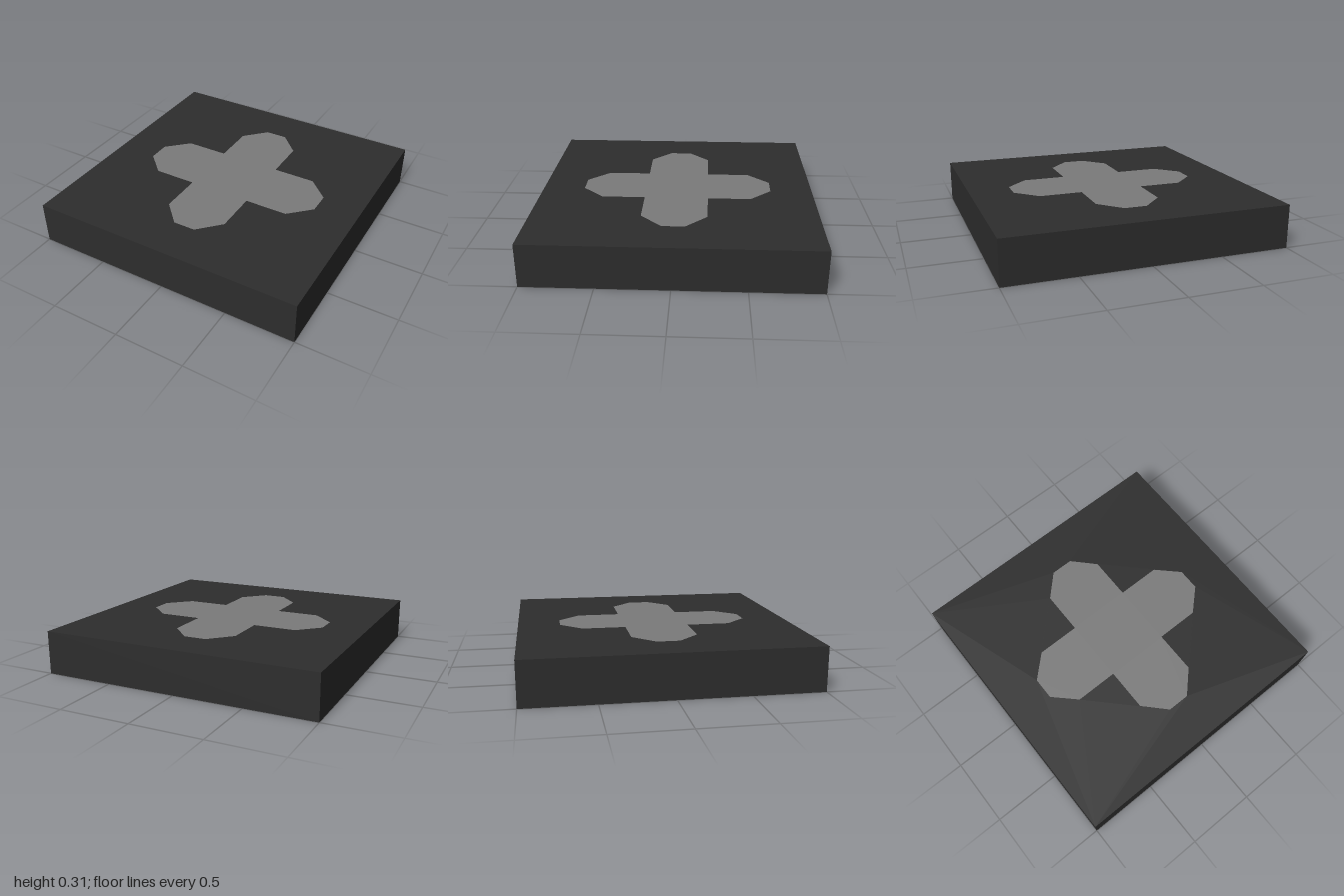
import * as THREE from 'three';

const HEIGHT = 0.31, SKIN = 0.008;
const ARM = 0.23, SHOULDER = 0.54, TIP = 0.695, TIP_HALF = 0.08;

// One quarter of the cross outline, turned four times
function crossPoints() {
  const quarter = [[ARM, -ARM], [SHOULDER, -ARM], [TIP, -TIP_HALF], [TIP, TIP_HALF], [SHOULDER, ARM]];
  const points = [];
  for (let i = 0; i < 4; i++) {
    const turn = i * Math.PI / 2;
    for (const [x, y] of quarter) {
      points.push(new THREE.Vector2(x, y).rotateAround(new THREE.Vector2(), turn));
    }
  }
  return points;
}

// Extrude a flat shape upwards from the ground
function slab(shape, height) {
  return new THREE.ExtrudeGeometry(shape, { depth: height, bevelEnabled: false }).rotateX(-Math.PI / 2);
}

export function createModel() {
  const model = new THREE.Group();
  model.name = 'crossPlate';
  const dark = new THREE.MeshStandardMaterial({ name: 'charcoal', color: 0x2d2d2d });
  const grey = new THREE.MeshStandardMaterial({ name: 'midGrey', color: 0x7b7b7b });

  const add = (name, geometry, material, y = 0) => {
    const mesh = new THREE.Mesh(geometry, material);
    mesh.name = name;
    mesh.position.y = y;
    model.add(mesh);
    return mesh;
  };

  // Square block with a cross-shaped opening
  const square = new THREE.Shape([[-1, -1], [1, -1], [1, 1], [-1, 1]].map(p => new THREE.Vector2(...p)));
  square.holes.push(new THREE.Path(crossPoints().reverse()));
  add('block', slab(square, HEIGHT), dark);

  // Thin cross panel closing the opening flush with the top
  add('crossPanel', slab(new THREE.Shape(crossPoints()), SKIN), grey, HEIGHT - SKIN);

  // Narrow bars across the mouth of each arm, underneath
  for (let i = 0; i < 4; i++) {
    const bar = add('bar', new THREE.BoxGeometry(0.05, 0.04, ARM * 2).translate(0.265, 0, 0), dark, 0.035);
    bar.rotation.y = i * Math.PI / 2;
  }
  return model;
}
